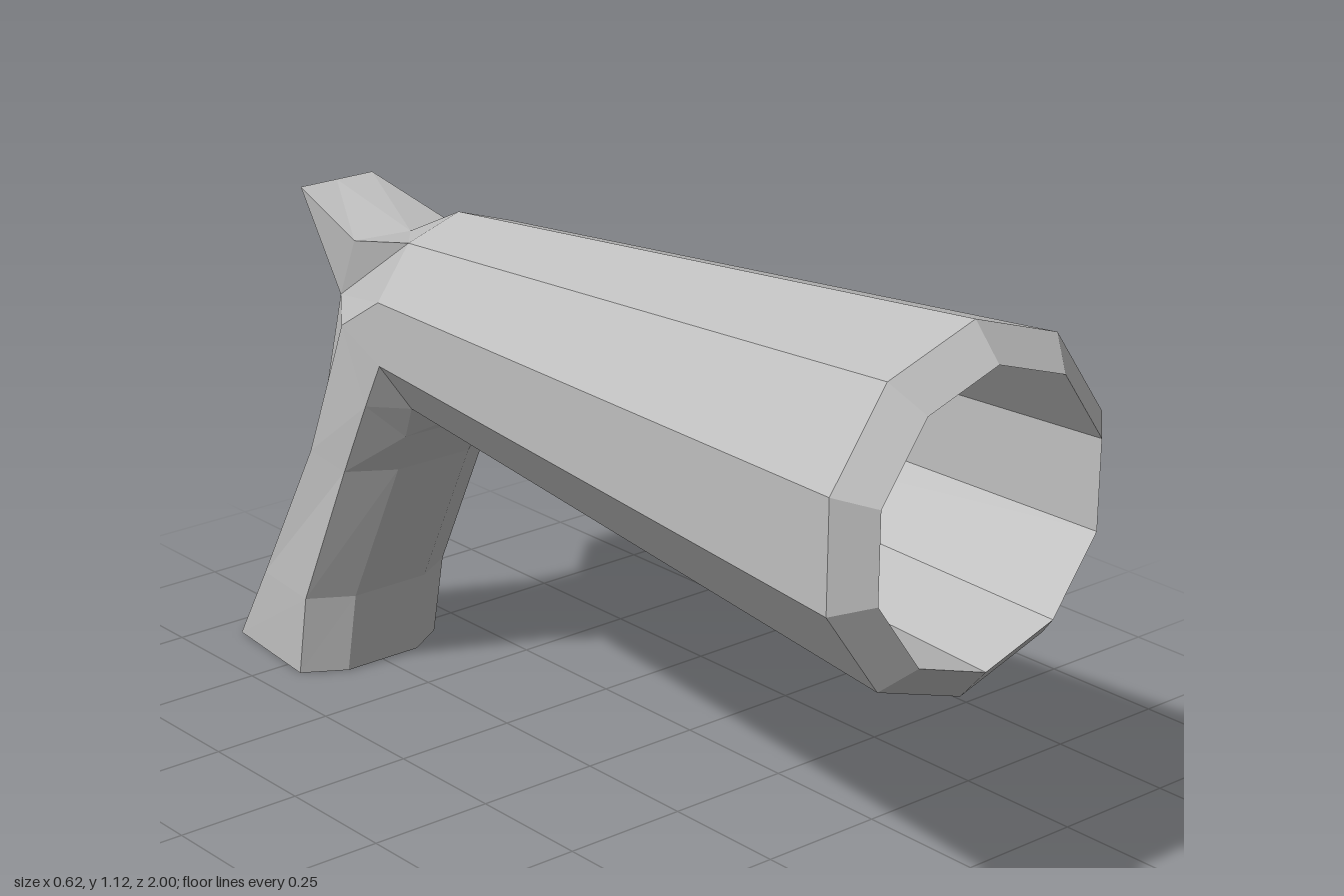
import * as THREE from 'three';

const AXIS_Y = 0.797;   // height of the barrel axis
const BACK_Z = -0.38;   // where the barrel turns into the grip

const flip = ([x, y, z]) => [-x, y, z];
// point k of the ten-sided ring at the rear of the barrel, 0 = top
const rear = (k) => [0.2 * Math.sin(k * Math.PI / 5), AXIS_Y + 0.2 * Math.cos(k * Math.PI / 5), BACK_Z];

// flat-shaded geometry from convex polygons, corners counter-clockwise
function fromPolygons(polygons) {
  const pos = [];
  for (const p of polygons) {
    for (let i = 1; i < p.length - 1; i++) pos.push(...p[0], ...p[i], ...p[i + 1]);
  }
  const geo = new THREE.BufferGeometry();
  geo.setAttribute('position', new THREE.Float32BufferAttribute(pos, 3));
  geo.computeVertexNormals();
  return geo;
}

const mirrored = (polygons) => [...polygons, ...polygons.map((p) => p.map(flip).reverse())];

// hollow ten-sided barrel with a bevelled muzzle
function barrelGeometry() {
  const profile = [[0.2, BACK_Z], [0.325, 0.945], [0.263, 1], [0.197, -0.3], [0, -0.3]];
  const geo = new THREE.LatheGeometry(profile.map(([r, z]) => new THREE.Vector2(r, z)), 10)
    .rotateX(Math.PI / 2)
    .translate(0, AXIS_Y, 0)
    .toNonIndexed();
  geo.computeVertexNormals();
  return geo;
}

// bent grip: half rings from back to front, mirrored and joined
function gripGeometry() {
  const halves = [
    [rear(1), rear(2), rear(3), rear(4)],
    [[0.087, 0.79, -0.64], [0.18, 0.78, -0.51], [0.184, 0.64, -0.435], [0.103, 0.565, -0.42]],
    [[0.087, 0.49, -0.72], [0.168, 0.49, -0.64], [0.172, 0.48, -0.525], [0.085, 0.48, -0.47]],
    [[0.03, 0.17, -0.903], [0.15, 0.17, -0.837], [0.17, 0.17, -0.67], [0.085, 0.17, -0.62]],
    [[0, 0, -1], [0.14, 0, -0.945], [0.168, 0, -0.7], [0.085, 0, -0.65]],
  ];
  const rings = halves.map((h) => [...h, ...h.map(flip).reverse()]);
  const polygons = [];
  for (let r = 0; r < rings.length - 1; r++) {
    const a = rings[r], b = rings[r + 1];
    for (let i = 0; i < a.length; i++) {
      const j = (i + 1) % a.length;
      if (r === 0 && (i === 3 || i === 7)) continue; // closed by the throat and the hammer
      polygons.push([a[i], a[j], b[j], b[i]]);
    }
  }
  polygons.push(rings[4]); // butt
  // throat below the barrel
  const front = halves[1][3];
  polygons.push(...mirrored([[rear(4), rear(5), front]]), [rear(5), flip(front), front]);
  return fromPolygons(polygons);
}

// flared hammer rising behind the barrel
function hammerGeometry() {
  const root = [0.11, 0.92, -0.56], rootMid = [0, 0.925, -0.53];
  const tip = [0.085, 0.975, -0.765], tipMid = [0, 0.975, -0.765];
  const neck = [0.085, 0.88, -0.68], neckMid = [0, 0.88, -0.68];
  const heel = [0.087, 0.79, -0.64], heelMid = [0, 0.79, -0.64];
  return fromPolygons(mirrored([
    [rear(0), rear(1), root, rootMid],
    [rootMid, root, tip, tipMid],
    [rear(1), heel, root],
    [root, heel, neck, tip],
    [tip, neck, neckMid, tipMid],
    [neck, heel, heelMid, neckMid],
  ]));
}

export function createModel() {
  const grey = new THREE.MeshStandardMaterial({ color: 0xc0c0c0 });
  grey.name = 'grey';
  const group = new THREE.Group();
  group.name = 'handCannon';
  const parts = { barrel: barrelGeometry(), grip: gripGeometry(), hammer: hammerGeometry() };
  for (const [name, geo] of Object.entries(parts)) {
    const mesh = new THREE.Mesh(geo, grey);
    mesh.name = name;
    group.add(mesh);
  }
  return group;
}
